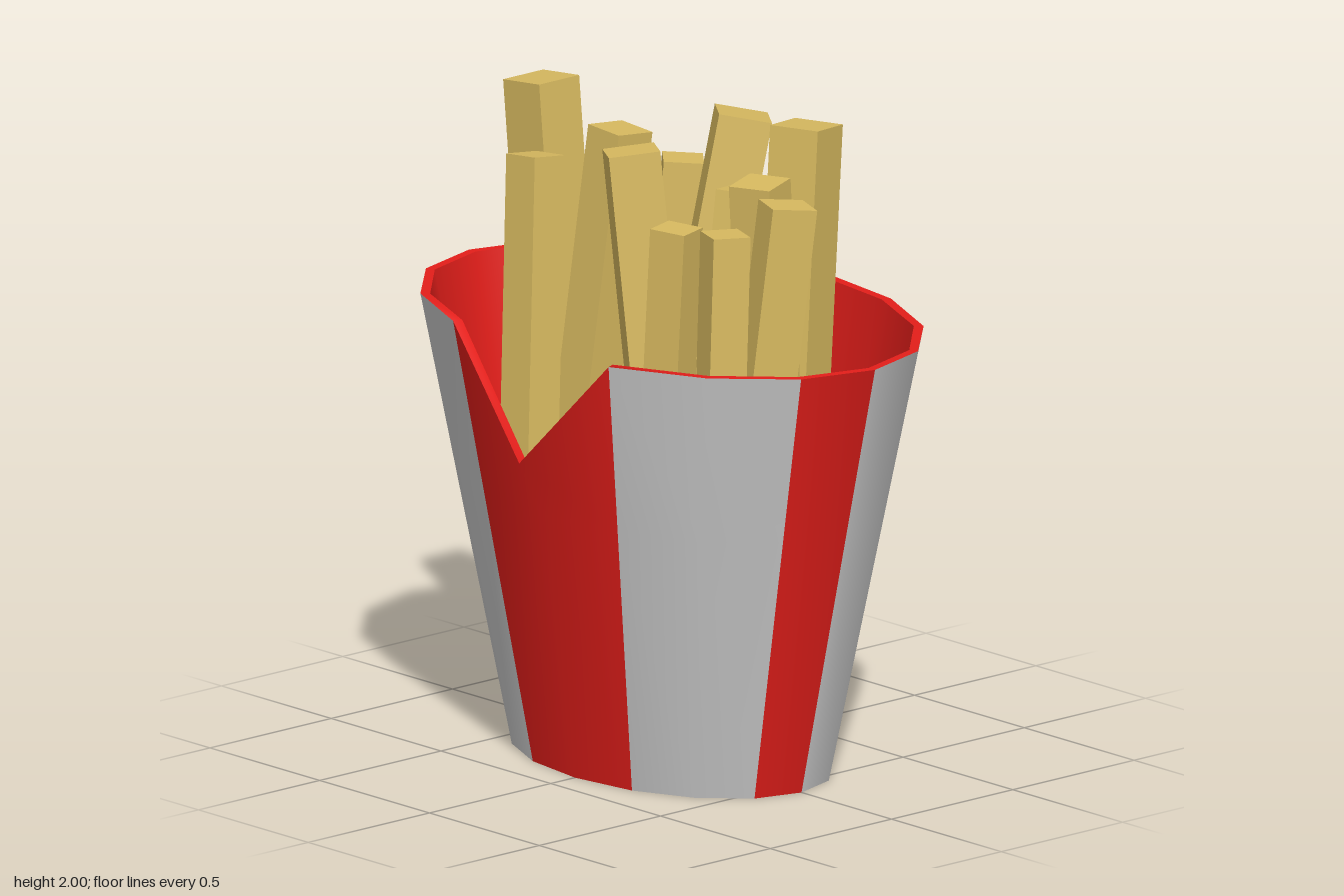
import * as THREE from 'three';

const SIDES = 16, HEIGHT = 1.41, FOLD = 0.86, NOTCH = 1.04, WALL = 0.03, FLOOR = 0.06;
const red = new THREE.MeshStandardMaterial({ color: 0xe31e1a });
const grey = new THREE.MeshStandardMaterial({ color: 0xcccccc });
const golden = new THREE.MeshStandardMaterial({ color: 0xd8ba60 });

// One elliptical ring of the flared cup; the rim ring dips to a notch at the front
function ring(y, inset = 0, scale = 1) {
  const t = y / HEIGHT, points = [];
  const rx = (0.59 + 0.335 * t - inset) * scale;
  const rz = (0.4 + 0.23 * t - inset) * scale;
  for (let i = 0; i < SIDES; i++) {
    const a = (i / SIDES) * Math.PI * 2;
    const dip = i === 0 && y === HEIGHT;
    points.push(rx * Math.sin(a), dip ? NOTCH : y, rz * Math.cos(a));
  }
  return points;
}

// Skin consecutive rings; keep(i) picks which of the sides get faces,
// while normals stay smooth over the whole skin
function skin(rings, keep = () => true) {
  const all = [], kept = [];
  for (let r = 0; r < rings.length - 1; r++) {
    for (let i = 0; i < SIDES; i++) {
      const j = (i + 1) % SIDES;
      const a = r * SIDES + i, b = r * SIDES + j, c = b + SIDES, d = a + SIDES;
      const quad = i < SIDES / 2 ? [a, b, d, b, c, d] : [a, b, c, a, c, d];
      all.push(...quad);
      if (keep(i)) kept.push(...quad);
    }
  }
  const geometry = new THREE.BufferGeometry();
  geometry.setAttribute('position', new THREE.Float32BufferAttribute(rings.flat(), 3));
  geometry.setIndex(all);
  geometry.computeVertexNormals();
  geometry.setIndex(kept);
  return geometry;
}

function addMesh(parent, name, geometry, material) {
  const mesh = new THREE.Mesh(geometry, material);
  mesh.name = name;
  parent.add(mesh);
  return mesh;
}

function createCup() {
  const cup = new THREE.Group();
  cup.name = 'cup';
  const outer = [ring(0), ring(FOLD), ring(HEIGHT)];
  // Every third side is red, which leaves a double red panel at the front
  addMesh(cup, 'redStripes', skin(outer, i => i % 3 === 0), red);
  addMesh(cup, 'greyStripes', skin(outer, i => i % 3 !== 0), grey);
  addMesh(cup, 'rim', skin([ring(HEIGHT), ring(HEIGHT, WALL)]), red);
  addMesh(cup, 'lining', skin([
    ring(HEIGHT, WALL), ring(FOLD, WALL), ring(FLOOR + 0.02, WALL), ring(FLOOR + 0.02, WALL, 0.001),
  ]), red);
  // Slightly recessed underside with its foot edge
  addMesh(cup, 'underside', skin([ring(FLOOR, WALL, 0.001), ring(FLOOR, WALL)]), red);
  addMesh(cup, 'footInside', skin([ring(FLOOR, WALL), ring(0, WALL)]), red);
  addMesh(cup, 'footEdge', skin([ring(0, WALL), ring(0)]), red);
  return cup;
}

// Fries: top centre x, y, z, drift in x and z per unit downward, yaw in degrees, width, depth
const FRIES = [
  [-0.69, 1.99, -0.085, 0.1, 0, 0, 0.165, 0.165],
  [-0.555, 1.8, 0.06, 0.1, 0.12, 0, 0.13, 0.125],
  [-0.39, 1.88, -0.14, -0.06, 0.1, 0, 0.14, 0.14],
  [-0.225, 1.8, -0.25, -0.03, 0.06, -40, 0.13, 0.125],
  [-0.18, 1.88, 0.005, 0.09, -0.05, -33, 0.13, 0.16],
  [0.005, 1.98, -0.29, -0.06, 0.2, -38, 0.17, 0.165],
  [0.125, 1.785, -0.17, 0.03, 0.15, 25, 0.115, 0.12],
  [0.27, 1.995, -0.31, 0.04, 0.1, 20, 0.165, 0.165],
  [0.355, 1.88, -0.04, 0, -0.06, 20, 0.14, 0.14],
  [0.28, 1.77, 0.235, -0.045, 0.02, 18, 0.12, 0.115],
  [0.55, 1.86, 0.02, -0.05, 0.11, -22, 0.13, 0.145],
  [0.47, 1.785, 0.205, 0.01, 0.045, -22, 0.12, 0.12],
];

function createFries() {
  const fries = new THREE.Group();
  fries.name = 'fries';
  const up = new THREE.Vector3(0, 1, 0), length = 1.1;
  FRIES.forEach(([x, y, z, driftX, driftZ, yaw, width, depth], n) => {
    const geometry = new THREE.BoxGeometry(width, length, depth);
    geometry.translate(0, -length / 2, 0);
    const fry = addMesh(fries, `fry${n + 1}`, geometry, golden);
    const axis = new THREE.Vector3(-driftX, 1, -driftZ).normalize();
    fry.position.set(x, y, z);
    fry.quaternion.setFromUnitVectors(up, axis);
    fry.rotateY(THREE.MathUtils.degToRad(yaw));
  });
  return fries;
}

export function createModel() {
  const model = new THREE.Group();
  model.name = 'cupOfFries';
  model.add(createCup(), createFries());
  return model;
}
